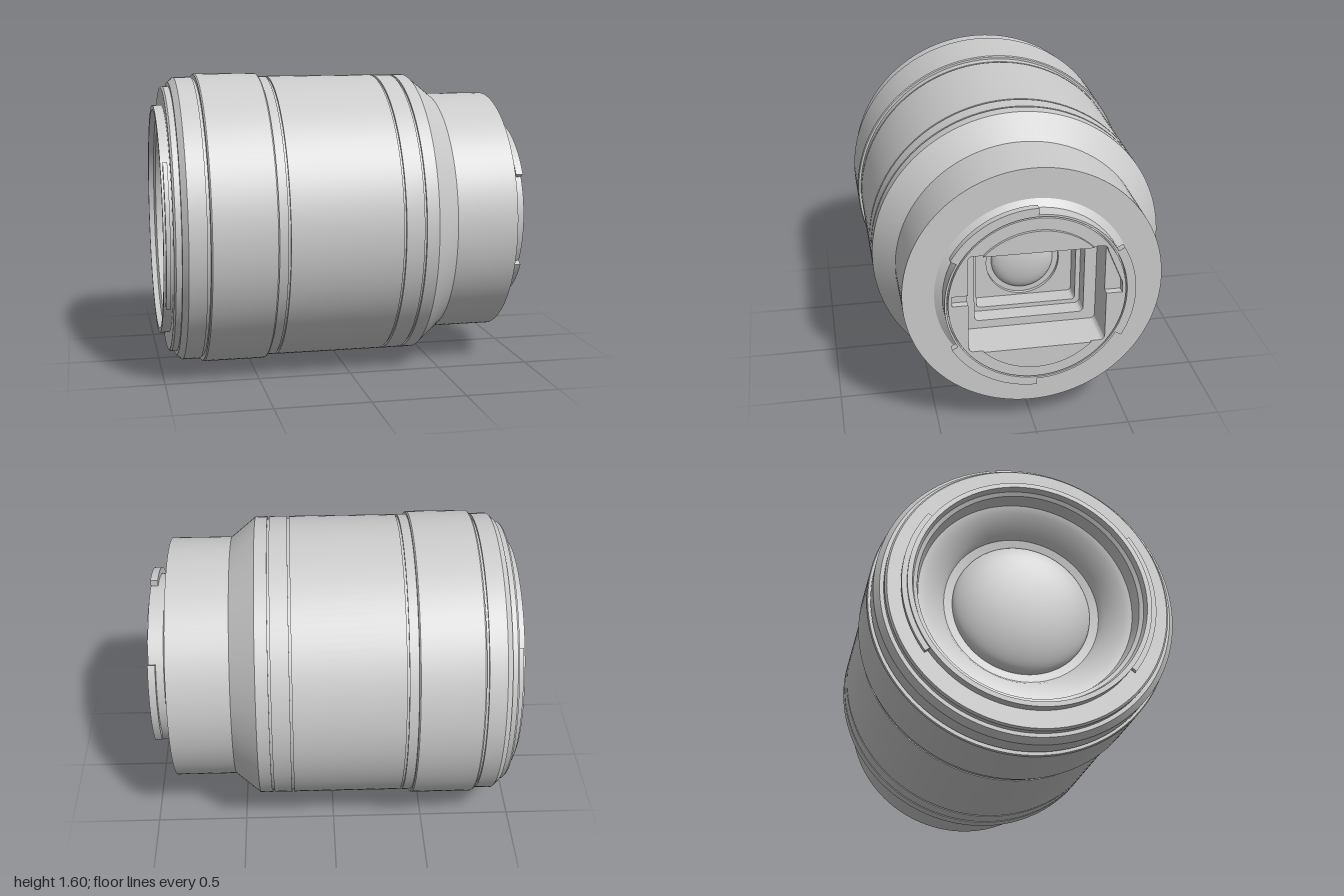
import * as THREE from 'three';
import { toCreasedNormals } from 'three/addons/utils/BufferGeometryUtils.js';

const material = new THREE.MeshStandardMaterial({ color: 0xcccccc, side: THREE.DoubleSide });
const rad = THREE.MathUtils.degToRad;

function mesh(name, geometry) {
  const m = new THREE.Mesh(toCreasedNormals(geometry, rad(25)), material);
  m.name = name;
  return m;
}

// Turned part: [position along the axis, radius] pairs, axis along x
function turned(name, profile) {
  const points = profile.map(([x, r]) => new THREE.Vector2(r, x));
  return mesh(name, new THREE.LatheGeometry(points, 128).rotateZ(-Math.PI / 2));
}

// Flat part cut from a shape (shape x = -z, shape y = y), filling x0..x1
function plate(name, shape, x0, x1) {
  const g = new THREE.ExtrudeGeometry(shape, { depth: x1 - x0, bevelEnabled: false, curveSegments: 48 });
  return mesh(name, g.translate(0, 0, x0).rotateY(Math.PI / 2));
}

function disc(r, hole) {
  const s = new THREE.Shape();
  s.absarc(0, 0, r, 0, Math.PI * 2);
  if (hole) s.holes.push(hole);
  return s;
}

// Rounded rectangle with half sizes w and h
function roundRect(w, h, r, Type = THREE.Path) {
  const p = new Type();
  p.absarc(w - r, h - r, r, 0, Math.PI / 2);
  p.absarc(r - w, h - r, r, Math.PI / 2, Math.PI);
  p.absarc(r - w, r - h, r, Math.PI, Math.PI * 1.5);
  p.absarc(w - r, r - h, r, Math.PI * 1.5, Math.PI * 2);
  p.closePath();
  return p;
}

// Arc-shaped lug centred on an angle in degrees
function lug(inner, outer, centre, half) {
  const s = new THREE.Shape();
  s.absarc(0, 0, outer, rad(centre - half), rad(centre + half), false);
  s.absarc(0, 0, inner, rad(centre + half), rad(centre - half), true);
  s.closePath();
  return s;
}

// Profile points of a shallow dome, from rim to centre
function dome(rim, r, height) {
  const pts = [];
  for (let i = 0; i <= 14; i++) {
    const a = (i / 14) * Math.PI / 2;
    pts.push([rim + height * Math.sin(a), r * Math.cos(a)]);
  }
  return pts;
}

// Narrow groove cut in the barrel
const groove = (x, r) => [[x - 0.006, r], [x - 0.006, r - 0.012], [x + 0.006, r - 0.012], [x + 0.006, r]];

export function createModel() {
  const lens = new THREE.Group();
  lens.name = 'cameraLens';
  lens.position.y = 0.8;

  // Outer barrel, from front rim to mount shoulder
  lens.add(turned('barrel', [
    [-0.95, 0.62], [-0.955, 0.725], [-0.945, 0.735], [-0.915, 0.735], [-0.915, 0.755], [-0.885, 0.783],
    [-0.79, 0.783], [-0.79, 0.77], [-0.775, 0.77], [-0.775, 0.795], [-0.768, 0.8],
    [-0.437, 0.8], [-0.43, 0.795], [-0.43, 0.783],
    ...groove(-0.375, 0.783), ...groove(0.228, 0.783), ...groove(0.337, 0.783),
    [0.41, 0.783], [0.545, 0.673], [0.877, 0.673], [0.877, 0.505],
  ]));

  // Front hood collar and the stepped bowl behind it
  lens.add(turned('frontBowl', [
    [-0.78, 0.36], [-0.79, 0.41], [-0.82, 0.43], [-0.88, 0.52], [-0.89, 0.56], [-0.96, 0.575],
    [-0.97, 0.595], [-1, 0.605], [-1, 0.63], [-0.95, 0.63],
  ]));
  lens.add(turned('frontGlass', dome(-0.78, 0.365, -0.09)));
  for (const centre of [0, 180]) {
    lens.add(plate('hoodLug', lug(0.62, 0.657, centre, 36), -0.988, -0.965));
  }

  // Rear mount collar with a fine gap inside its rim
  lens.add(turned('mountCollar', [
    [0.877, 0.51], [0.903, 0.472], [0.985, 0.472], [0.985, 0.461], [0.955, 0.461], [0.955, 0.445],
  ]));
  for (const centre of [0, 120, 240]) {
    lens.add(plate('mountLug', lug(0.465, 0.507, centre, 30), 0.945, 0.985));
  }

  // Mount face, with a rectangular opening notched at both sides
  const w = 0.353, h = 0.273, c = 0.025, notch = 0.435;
  const opening = new THREE.Path();
  opening.moveTo(w, 0.055);
  opening.absarc(w - c, h - c, c, 0, Math.PI / 2);
  opening.absarc(c - w, h - c, c, Math.PI / 2, Math.PI);
  opening.lineTo(-w, 0.055);
  opening.lineTo(-notch, 0.055);
  opening.lineTo(-notch, 0);
  opening.lineTo(-w, 0);
  opening.absarc(c - w, c - h, c, Math.PI, Math.PI * 1.5);
  opening.absarc(w - c, c - h, c, Math.PI * 1.5, Math.PI * 2);
  opening.lineTo(w, 0);
  opening.lineTo(notch, 0);
  opening.lineTo(notch, 0.055);
  opening.closePath();
  lens.add(plate('mountFace', disc(0.454, opening), 0.945, 0.985));
  lens.add(plate('mountTunnel', disc(0.454, roundRect(w, h, c)), 0.765, 0.945));

  // Raised circle segments above and below the opening
  const a = Math.asin(h / 0.39);
  for (const side of [0, Math.PI]) {
    const segment = new THREE.Shape();
    segment.absarc(0, 0, 0.39, side + a, side + Math.PI - a);
    segment.closePath();
    lens.add(plate('mountSegment', segment, 0.98, 1));
  }

  // Stepped baffles down to the rear glass
  lens.add(plate('outerBaffle', disc(0.454, roundRect(0.29, 0.227, 0.025)), 0.67, 0.765));
  lens.add(plate('innerBaffle', disc(0.454, roundRect(0.265, 0.204, 0.02)), 0.57, 0.67));
  lens.add(turned('rearGlassSeat', [[0.57, 0.45], [0.57, 0.195], [0.55, 0.195], [0.55, 0.165]]));
  lens.add(turned('rearGlass', dome(0.545, 0.166, 0.06)));

  const model = new THREE.Group();
  model.name = 'lensModel';
  model.add(lens);
  return model;
}
